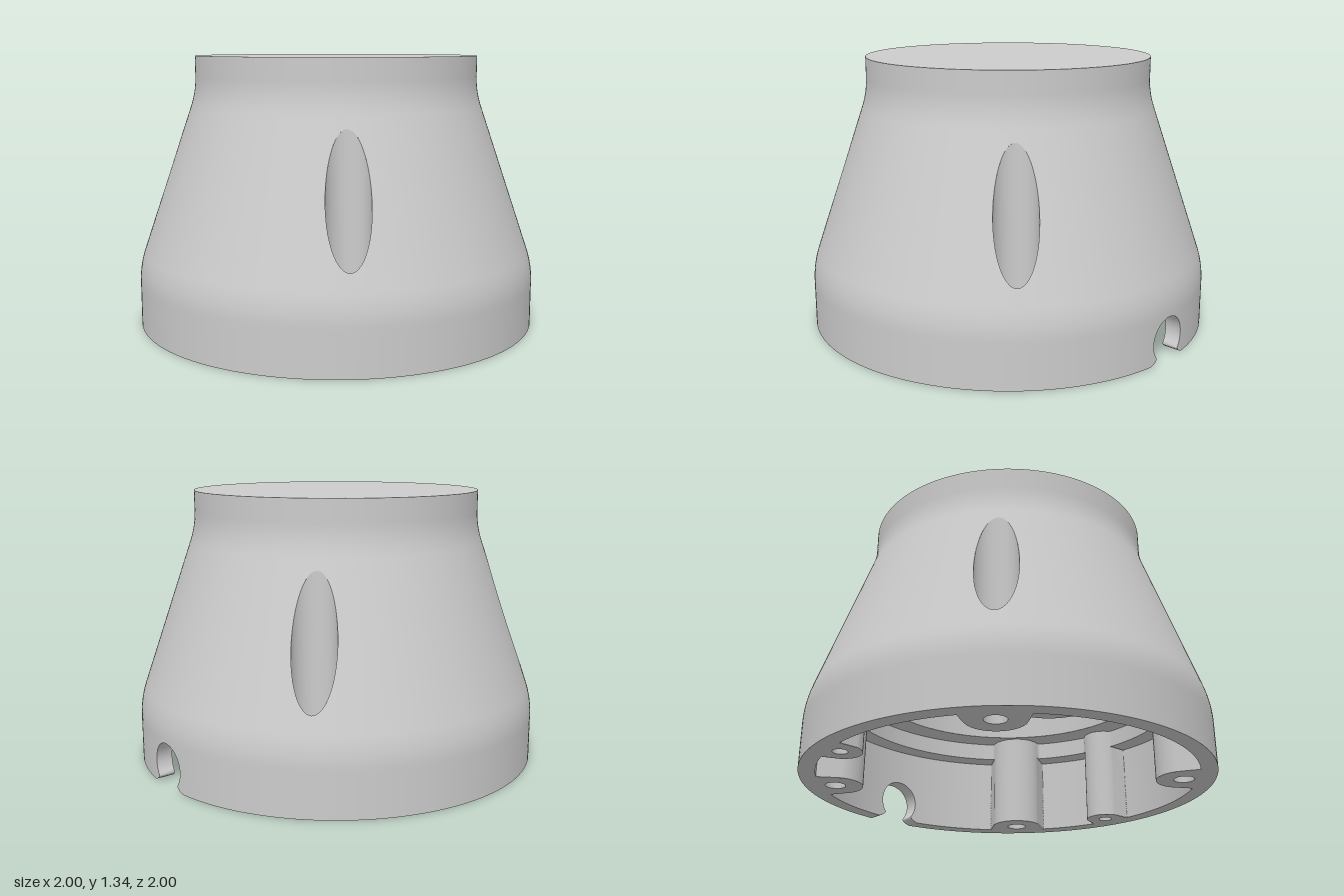
import * as THREE from 'three';

const material = new THREE.MeshStandardMaterial({ color: 0xcccccc, side: THREE.DoubleSide });
const TOP = 1.335, SEAT = 0.3, LEDGE = 0.39, STEP = 0.48, CEILING = 0.68;
const WALL_R = 0.92, STEP_R = 0.82, RECESS_R = 0.69;
const D = 0.6 * Math.SQRT2, BORE = 0.1, SLOPE = 0.342;
const SLOT_LOW = 0.445, SLOT_HIGH = SLOT_LOW + 2 * BORE / SLOPE;
const screws = [[0.6, 0.6], [-0.6, 0.6], [-0.6, -0.6], [0.6, -0.6]];
const pilots = [[0.15, 0.855], [0.15, -0.855]];
const posts = [...screws.map(p => [...p, 0.135]), ...pilots.map(p => [...p, 0.1])];

const softMin = (a, b, k) => Math.min(a, b) - Math.max(k - Math.abs(a - b), 0) ** 2 / (4 * k);
const lerp = THREE.MathUtils.lerp;

// Outer radius at a height: straight base, cone, straight neck, rounded joins
function outerR(y) {
  const cone = D + BORE - SLOPE * (y - SLOT_LOW);
  return softMin(1, -softMin(-0.705, -cone, 0.025), 0.025);
}

// Half-angle where a screw bore breaks through the cone
function slotAngle(y) {
  if (y <= SLOT_LOW || y >= SLOT_HIGH) return 0;
  const r = outerR(y);
  return Math.acos(Math.min(1, (r * r + D * D - BORE * BORE) / (2 * r * D)));
}

// Half-width of the keyhole cable notch
function notchW(y) {
  if (y < 0.03) return 0.085 + 0.04 * (1 - y / 0.03) ** 2;
  return Math.sqrt(Math.max(0, 0.11 ** 2 - (y - 0.1) ** 2));
}

// Inner wall radius at an angle, stepping in around the screw posts
function cavityR(t, wall) {
  let r = wall;
  for (const [x, z, rad] of posts) {
    const d = Math.hypot(x, z), a = t - Math.atan2(z, x);
    const q = rad * rad - (d * Math.sin(a)) ** 2;
    if (q > 0 && Math.cos(a) > 0) r = Math.min(r, d * Math.cos(a) - Math.sqrt(q));
  }
  return r;
}

// Grid surface: fn(u, row) gives a point
function grid(nu, rows, fn) {
  const pos = [], idx = [];
  rows.forEach((row, j) => {
    for (let i = 0; i <= nu; i++) {
      pos.push(...fn(i / nu, row));
      if (i < nu && j < rows.length - 1) {
        const a = j * (nu + 1) + i, b = a + nu + 1;
        idx.push(a, b, a + 1, b, b + 1, a + 1);
      }
    }
  });
  const g = new THREE.BufferGeometry();
  g.setAttribute('position', new THREE.Float32BufferAttribute(pos, 3));
  g.setIndex(idx);
  g.computeVertexNormals();
  return g;
}

const polar = (r, t, y) => [r * Math.cos(t), y, r * Math.sin(t)];
const circle = (x, z, r) => new THREE.Path().absarc(x, z, r, 0, Math.PI * 2);
const outline = (fn, from, to, n) => Array.from({ length: n + 1 }, (_, i) => {
  const t = lerp(from, to, i / n);
  return new THREE.Vector2(fn(t) * Math.cos(t), fn(t) * Math.sin(t));
});
const cavityOutline = wall => outline(t => cavityR(t, wall), 0, Math.PI * 2, 720).slice(0, -1);

export function createModel() {
  const model = new THREE.Group();
  const add = (name, geo, x = 0, y = 0, z = 0) => {
    const m = new THREE.Mesh(geo, material);
    m.name = name;
    m.position.set(x, y, z);
    model.add(m);
  };
  // Flat face looking down
  const face = (name, shape, y) => add(name, new THREE.ShapeGeometry(shape, 64).rotateX(Math.PI / 2), 0, y);
  const tube = (name, r, y0, y1, x = 0, z = 0) =>
    add(name, new THREE.CylinderGeometry(r, r, y1 - y0, 64, 1, true), x, (y0 + y1) / 2, z);

  // Heights, packed closely at the notch and slot ends
  const notchRows = [0, 0.01, 0.02, 0.03];
  for (let i = 1; i <= 16; i++) notchRows.push(0.1 - 0.11 * Math.cos(lerp(0.88, Math.PI, i / 16)));
  const rows = [...notchRows];
  for (let y = 0.23; y < SLOT_LOW; y += 0.02) rows.push(y);
  for (let i = 0; i <= 32; i++) rows.push(lerp(SLOT_LOW, SLOT_HIGH, (1 - Math.cos(Math.PI * i / 32)) / 2));
  for (let y = 1.05; y < 1.26; y += 0.02) rows.push(y);
  rows.push(TOP);

  // Outer shell in eight panels, leaving the slots and the notch open
  for (let k = 0; k < 8; k++) {
    const c = Math.floor(k / 2) * Math.PI / 2, s = k % 2 ? -1 : 1;
    const shell = grid(24, rows, (u, y) => {
      const gap = c === 0 ? Math.asin(notchW(y)) : 0;
      const t = lerp(gap, Math.PI / 4 - slotAngle(y), s > 0 ? u : 1 - u);
      return polar(outerR(y), c + s * t, y);
    });
    const p = shell.attributes.position, n = shell.attributes.normal;
    for (let i = 0; i < p.count; i++) {
      const x = p.getX(i), y = p.getY(i), z = p.getZ(i), r = Math.hypot(x, z);
      const d = (outerR(y + 0.001) - outerR(y - 0.001)) / 0.002, l = Math.hypot(1, d);
      n.setXYZ(i, x / r / l, -d / l, z / r / l);
    }
    add('outerShell', shell);
  }
  add('topFace', new THREE.CircleGeometry(0.705, 128).rotateX(-Math.PI / 2), 0, TOP);

  // Screw bores: walls clipped by the cone, seat ring and through hole
  for (const [x, z] of screws) {
    add('screwBore', grid(64, [0, 1], (u, v) => {
      const px = x + BORE * Math.cos(u * Math.PI * 2), pz = z + BORE * Math.sin(u * Math.PI * 2);
      const top = SLOT_LOW + (D + BORE - Math.hypot(px, pz)) / SLOPE;
      return [px, v ? top : SEAT, pz];
    }));
    add('screwSeat', new THREE.RingGeometry(0.05, BORE, 64).rotateX(-Math.PI / 2), x, SEAT, z);
    tube('screwHole', 0.05, 0, SEAT, x, z);
  }
  for (const [x, z] of pilots) {
    tube('pilotHole', 0.035, 0, 0.25, x, z);
    add('pilotHoleEnd', new THREE.CircleGeometry(0.035, 32).rotateX(Math.PI / 2), x, 0.25, z);
  }

  // Inner wall and cable notch, in mirrored halves
  for (const s of [1, -1]) {
    add('cavityWall', grid(400, [...notchRows, LEDGE], (u, y) => {
      const gap = Math.asin(notchW(y) / WALL_R);
      const t = s * (u < 0.1 ? lerp(gap, 0.3, u / 0.1) : lerp(0.3, Math.PI, (u - 0.1) / 0.9));
      return polar(cavityR(t, WALL_R), t, y);
    }));
    add('cableNotch', grid(1, notchRows, (u, y) => {
      const w = notchW(y), r = lerp(WALL_R, 1, u);
      return [Math.sqrt(r * r - w * w), y, s * w];
    }));
  }

  // Bottom rim, open at the notch
  const a = Math.asin(notchW(0)), b = Math.asin(notchW(0) / WALL_R);
  const rim = new THREE.Shape([
    ...outline(() => 1, a, 2 * Math.PI - a, 192),
    ...outline(t => cavityR(t, WALL_R), 2 * Math.PI - b, b, 720)]);
  rim.holes = [...screws.map(p => circle(...p, 0.05)), ...pilots.map(p => circle(...p, 0.035))];
  face('bottomRim', rim, 0);

  // Stepped recess above the cavity; the posts run up through the first step
  const ledge = new THREE.Shape(cavityOutline(WALL_R));
  ledge.holes.push(new THREE.Path(cavityOutline(STEP_R)));
  face('lowerLedge', ledge, LEDGE);
  add('lowerStep', grid(720, [LEDGE, STEP], (u, y) => {
    const t = u * Math.PI * 2;
    return polar(cavityR(t, STEP_R), t, y);
  }));
  const step = new THREE.Shape(cavityOutline(STEP_R));
  step.holes.push(circle(0, 0, RECESS_R));
  face('upperLedge', step, STEP);
  tube('upperStep', RECESS_R, STEP, CEILING);
  face('ceiling', new THREE.Shape().absarc(0, 0, RECESS_R, 0, Math.PI * 2), CEILING);

  // Round-ended mounting block with a vertical hole
  for (const [end, y0, y1] of [[-0.88, 0.34, STEP], [-0.64, STEP, CEILING]]) {
    const block = new THREE.Shape().moveTo(end, -0.25).lineTo(-0.31, -0.25);
    block.absarc(-0.31, 0, 0.25, -Math.PI / 2, Math.PI / 2).lineTo(end, 0.25);
    block.holes.push(circle(-0.31, 0, 0.09));
    const geo = new THREE.ExtrudeGeometry(block, { depth: y1 - y0, bevelEnabled: false, curveSegments: 32 });
    add('mountingBlock', geo.rotateX(Math.PI / 2), 0, y1);
  }
  return model;
}
